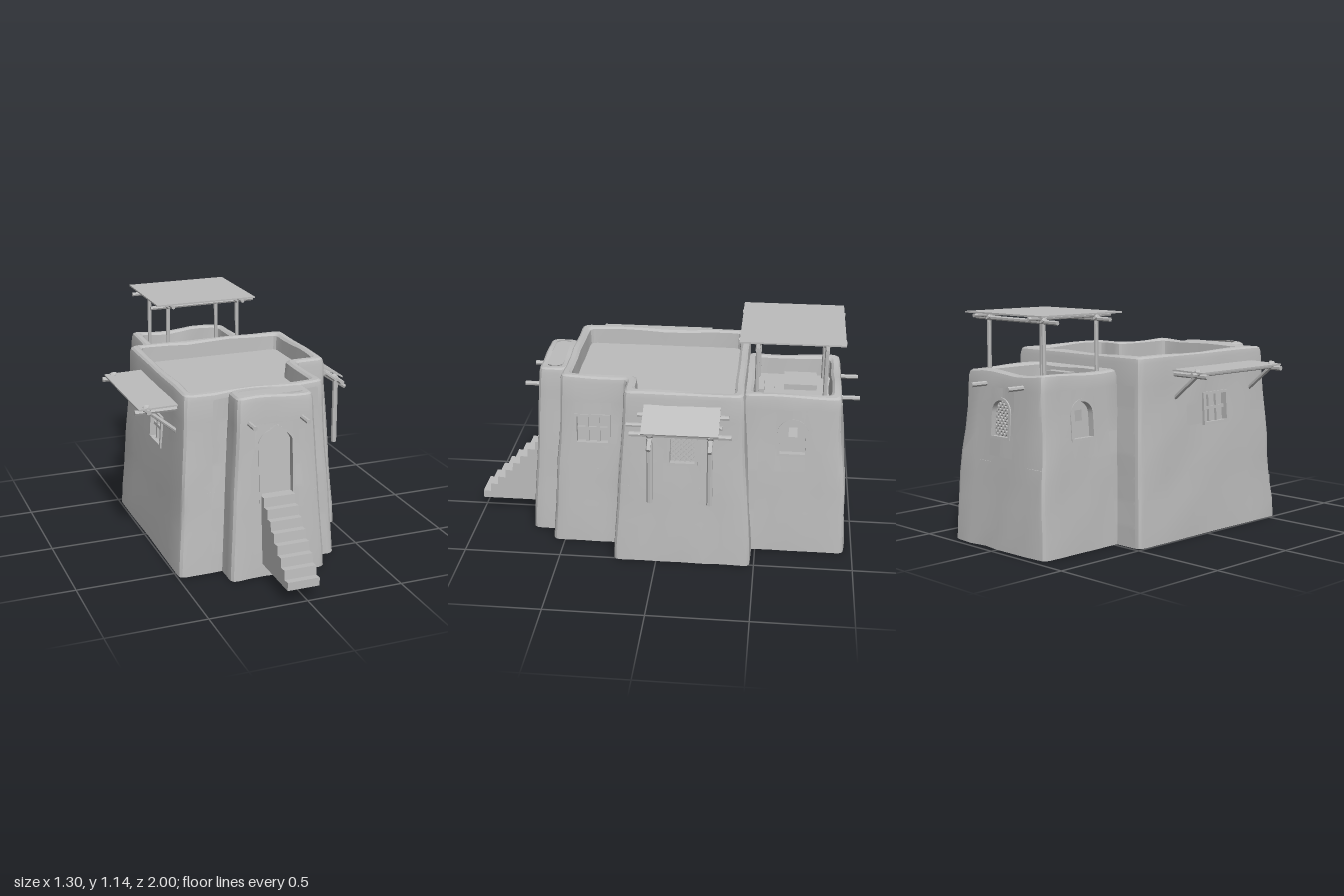
import * as THREE from 'three';
import { toCreasedNormals } from 'three/addons/utils/BufferGeometryUtils.js';

const clay = new THREE.MeshStandardMaterial({ name: 'plain grey', color: 0xbdbdbd, side: THREE.DoubleSide });
const R = Math.PI / 2;

// Door and windows: name, width, height, shape, filling, foot position, turn
const OPENINGS = [
  ['door', 0.19, 0.385, 'pointed', '', [-0.02, 0.387, 0.666], 0],
  ['gridWindow', 0.185, 0.165, 'square', 'grid', [0.311, 0.552, 0.345], R],
  ['gridWindow', 0.185, 0.165, 'square', 'grid', [-0.461, 0.552, 0.105], -R],
  ['latticeWindow', 0.15, 0.2, 'round', 'lattice', [0.476, 0.542, -0.13], R],
  ['latticeWindow', 0.15, 0.2, 'round', 'lattice', [0.01, 0.535, -0.927], Math.PI],
  ['archWindow', 0.155, 0.2, 'round', 'peephole', [0.306, 0.535, -0.671], R],
  ['archWindow', 0.155, 0.2, 'round', 'peephole', [-0.301, 0.535, -0.671], -R],
];

function add(parent, name, geo, crease = 0.45) {
  const m = new THREE.Mesh(toCreasedNormals(geo, crease), clay);
  m.name = name;
  parent.add(m);
  return m;
}
function box(parent, name, w, h, d, x, y, z) {
  return add(parent, name, new THREE.BoxGeometry(w, h, d).translate(x, y, z));
}
function rod(parent, name, a, b, r) {
  const A = new THREE.Vector3(...a), B = new THREE.Vector3(...b), dir = B.clone().sub(A);
  const m = add(parent, name, new THREE.CylinderGeometry(r, r, dir.length(), 7));
  m.position.copy(A).add(B).multiplyScalar(0.5);
  m.quaternion.setFromUnitVectors(new THREE.Vector3(0, 1, 0), dir.normalize());
}
function knot(parent, x, y, z, r = 0.022) {
  add(parent, 'lashing', new THREE.IcosahedronGeometry(r, 0).translate(x, y, z));
}

// Rounded outline of a right-angled plan, moved inward by an inset
function ring(corners, inset, r = 0.035) {
  const n = corners.length, pts = [];
  const V = corners.map((c) => new THREE.Vector2(...c));
  const dir = V.map((p, i) => V[(i + 1) % n].clone().sub(p).normalize());
  const P = V.map((p, i) => {
    const a = dir[(i + n - 1) % n], b = dir[i];
    return new THREE.Vector2(p.x + (a.y + b.y) * inset, p.y - (a.x + b.x) * inset);
  });
  for (let i = 0; i < n; i++) {
    const p = P[i], a = dir[(i + n - 1) % n], b = dir[i], q = P[(i + 1) % n];
    const s = p.clone().addScaledVector(a, -r), e = p.clone().addScaledVector(b, r);
    pts.push(...new THREE.QuadraticBezierCurve(s, p, e).getPoints(3));
    const f = q.clone().addScaledVector(b, -r);
    for (let k = 1; k < 6; k++) pts.push(e.clone().lerp(f, k / 6));
  }
  return pts;
}
function flat(parent, name, pts, y) {
  const g = new THREE.ShapeGeometry(new THREE.Shape(pts.map((p) => new THREE.Vector2(p.x, -p.y))));
  add(parent, name, g.rotateX(-R).translate(0, y, 0));
}
const wave = (x, y, z) => Math.sin(19 * x + 7 * y) * Math.cos(17 * z - 6 * y) + 0.6 * Math.sin(31 * (x + z) + 9 * y);

// True where a wall point falls inside a door or window hole
function inOpening(px, py, pz) {
  return OPENINGS.some(([, w, h, kind, , [x, y, z], turn]) => {
    const c = Math.cos(turn), s = Math.sin(turn), e = 0.006;
    const lx = Math.abs((px - x) * c - (pz - z) * s), lz = (px - x) * s + (pz - z) * c, ly = py - y;
    if (Math.abs(lz) > 0.05 || lx > w / 2 - e || ly < e || ly > h - e) return false;
    if (kind === 'round') return ly < h - w / 2 || Math.hypot(lx, ly - h + w / 2) < w / 2 - e;
    if (kind === 'pointed') return lx < (w / 2) * Math.min(1, (h - ly) / (w * 0.42)) ** 0.7 - e;
    return true;
  });
}

// Battered mud wall: outer face, rounded rim, inner parapet face and floors
function block(parent, name, corners, H, pit, hidden) {
  const levels = [[0, 0], [0.1, 0.004], [0.22, 0.013], [0.34, 0.02], [0.45, 0.026], [0.56, 0.035], [0.67, 0.043],
    [0.78, 0.05], [H - 0.03, 0.053], [H - 0.008, 0.058], [H, 0.068], [H, 0.09]];
  if (pit) levels.push([H - 0.01, 0.103], [H - pit, 0.108]);
  const rings = levels.map(([y, inset]) => ring(corners, inset).map((p) => {
    const k = 1 + 0.007 * wave(p.x, y, p.y) * (y < 0.8 ? 1 : 0.4);
    const lift = y > H - 0.04 ? 0.009 * Math.sin(14 * p.x + 3) * Math.cos(11 * p.y) : 0;
    return new THREE.Vector3(p.x * k, y + lift, p.y * k);
  }));
  const pos = [], n = rings[0].length, N = 10;
  const quad = (...q) => [0, 1, 2, 0, 2, 3].forEach((i) => pos.push(q[i].x, q[i].y, q[i].z));
  for (let i = 0; i < rings.length - 1; i++) for (let j = 0; j < n; j++) {
    const a = rings[i][j], b = rings[i][(j + 1) % n], c = rings[i + 1][(j + 1) % n], d = rings[i + 1][j];
    const at = (u, v) => a.clone().lerp(b, u / N).lerp(d.clone().lerp(c, u / N), v / N);
    // Panels crossing a hole are divided finely and trimmed
    const cells = [];
    for (let u = 0; u < N; u++) for (let v = 0; v < N; v++) {
      const m = at(u + 0.5, v + 0.5);
      if (!hidden(m.x, m.y, m.z) && !inOpening(m.x, m.y, m.z)) cells.push([u, v]);
    }
    if (cells.length === N * N) quad(a, b, c, d);
    else for (const [u, v] of cells) quad(at(u, v), at(u + 1, v), at(u + 1, v + 1), at(u, v + 1));
  }
  const g = new THREE.BufferGeometry();
  g.setAttribute('position', new THREE.Float32BufferAttribute(pos, 3));
  add(parent, name + 'Wall', g);
  flat(parent, name + 'Roof', ring(corners, pit ? 0.1 : 0.088), pit ? H - pit : H - 0.001);
  flat(parent, name + 'InnerFloor', ring(corners, 0.026), 0.42);
}

// Opening outline: square, round-headed or pointed
function outline(w, h, kind, base = 0) {
  const s = new THREE.Shape(), x = w / 2;
  s.moveTo(-x, base).lineTo(x, base);
  if (kind === 'square') s.lineTo(x, h).lineTo(-x, h);
  else if (kind === 'round') s.lineTo(x, h - x).absarc(0, h - x, x, 0, Math.PI, false);
  else {
    s.lineTo(x, h - w * 0.42).quadraticCurveTo(x * 0.85, h - w * 0.2, x * 0.4, h - w * 0.13).lineTo(0, h);
    s.lineTo(-x * 0.4, h - w * 0.13).quadraticCurveTo(-x * 0.85, h - w * 0.2, -x, h - w * 0.42);
  }
  s.closePath();
  return s;
}
function opening(parent, name, w, h, kind, fill, at, turn) {
  const g = new THREE.Group();
  g.name = name;
  const t = 0.013, back = -0.028, frame = outline(w, h, kind), panel = outline(w - t, h - t / 2, kind);
  frame.holes.push(outline(w - 2 * t, h - t, kind, t));
  add(g, 'frame', new THREE.ExtrudeGeometry(frame, { depth: 0.036, bevelEnabled: false, curveSegments: 8 }).translate(0, 0, -0.03));
  if (fill === 'peephole') {
    const hole = new THREE.Path([[-0.022, 0.093], [0.022, 0.093], [0.022, 0.145], [-0.022, 0.145]].map((p) => new THREE.Vector2(...p)));
    panel.holes.push(hole);
  }
  add(g, 'panel', new THREE.ShapeGeometry(panel, 8).translate(0, 0, back));
  if (fill === 'grid') {
    for (const x of [-1, 1]) box(g, 'bar', 0.016, h - t, 0.014, x * w / 6.5, h / 2, back + 0.008);
    box(g, 'bar', w - t, 0.016, 0.014, 0, h / 2, back + 0.008);
  }
  if (fill === 'lattice') {
    // Diagonal bars cut to the arch
    const inside = (x, y) => Math.abs(x) < w / 2 - t && y > t && (y < h - w / 2 || Math.hypot(x, y - h + w / 2) < w / 2 - t);
    for (const s of [-1, 1]) for (let c = -0.1; c < h + 0.1; c += 0.026) {
      const xs = [];
      for (let x = -w / 2; x <= w / 2; x += 0.003) if (inside(x, c + s * x)) xs.push(x);
      if (xs.length < 3) continue;
      const x0 = xs[0], x1 = xs[xs.length - 1], m = (x0 + x1) / 2;
      const bar = box(g, 'latticeBar', (x1 - x0) * Math.SQRT2, 0.006, 0.008, 0, 0, 0);
      bar.position.set(m, c + s * m, back + 0.006);
      bar.rotation.z = s * Math.PI / 4;
    }
  }
  g.position.set(...at);
  g.rotation.set(-0.07, turn, 0, 'YXZ');
  parent.add(g);
}
// Thin cover sloping from (xa, ya) to (xb, yb)
function cover(parent, name, xa, ya, xb, yb, z0, z1) {
  const m = add(parent, name, new THREE.BoxGeometry(Math.hypot(xb - xa, yb - ya), 0.008, z1 - z0));
  m.position.set((xa + xb) / 2, (ya + yb) / 2, (z0 + z1) / 2);
  m.rotation.z = Math.atan2(yb - ya, xb - xa);
}

export function createModel() {
  const house = new THREE.Group();
  house.name = 'mudHouse';

  // Walls and roofs, left open where the blocks join
  block(house, 'main', [[-0.49, 0.56], [0.345, 0.56], [0.345, 0.22], [0.51, 0.22], [0.51, -0.48], [-0.49, -0.48]], 0.92, 0.09,
    (x, y, z) => (z < -0.4 && Math.abs(x) < 0.322 - 0.065 * y && y < 0.7)
      || (z > 0.48 && x > -0.258 + 0.065 * y && x < 0.222 - 0.065 * y && y < 0.8));
  block(house, 'porch', [[-0.27, 0.69], [0.235, 0.69], [0.235, 0.43], [-0.27, 0.43]], 0.915, 0,
    (x, y, z) => z < 0.545 - 0.065 * y && y < 0.8);
  block(house, 'tower', [[-0.335, -0.36], [0.34, -0.36], [0.34, -0.96], [-0.335, -0.96]], 0.855, 0.1,
    (x, y, z) => z > -0.465 + 0.065 * y && y < 0.75);
  for (const k of [0, 1]) box(house, 'roofStep', 0.16, 0.035 * (2 - k), 0.05, 0.06, 0.755 + 0.0175 * (2 - k), -0.49 - 0.05 * k);
  box(house, 'roofHatch', 0.17, 0.03, 0.17, -0.11, 0.77, -0.7);

  for (const o of OPENINGS) opening(house, ...o);

  // Stairs
  const steps = new THREE.Shape();
  steps.moveTo(0.64, 0.07).lineTo(1, 0.07);
  for (let i = 0; i < 8; i++) {
    const z = 1 - i * 0.043, y = 0.112 + i * 0.0445;
    steps.lineTo(z, y).lineTo(i < 7 ? z - 0.039 : 0.64, y - 0.003);
  }
  const stairs = new THREE.ExtrudeGeometry(steps, { depth: 0.165, bevelEnabled: false });
  add(house, 'stairs', stairs.rotateY(-R).translate(0.06, 0, 0));

  // Beam ends through front and back walls
  for (const x of [-0.16, 0.115]) rod(house, 'frontBeam', [x, 0.793, 0.58], [x, 0.793, 0.72], 0.012);
  for (const x of [-0.14, 0.13]) rod(house, 'backBeam', [x, 0.793, -0.86], [x, 0.793, -1], 0.012);

  // Tower canopy
  cover(house, 'canopyTop', -0.28, 1.132, 0.284, 1.132, -0.91, -0.39);
  for (const z of [-0.48, -0.82]) {
    rod(house, 'canopyCrossPole', [-0.29, 1.1, z], [0.305, 1.104, z], 0.011);
    for (const x of [-0.19, 0.21]) {
      rod(house, 'canopyPost', [x * 1.02, 0.75, z], [x, 1.11, z], 0.011);
      knot(house, x, 1.107, z);
    }
  }
  for (const x of [-0.19, 0.21]) rod(house, 'canopyLongPole', [x, 1.118, -0.915], [x, 1.118, -0.385], 0.01);

  // Left-hand flat awning with braces
  cover(house, 'flatAwning', -0.635, 0.842, -0.42, 0.846, -0.2, 0.41);
  rod(house, 'awningPole', [-0.59, 0.832, -0.225], [-0.59, 0.832, 0.43], 0.012);
  for (const z of [-0.18, 0.39]) {
    rod(house, 'awningArm', [-0.65, 0.825, z], [-0.42, 0.825, z], 0.013);
    rod(house, 'awningBrace', [-0.6, 0.84, z], [-0.43, 0.7, z], 0.011);
    knot(house, -0.59, 0.838, z, 0.025);
  }

  // Right-hand sloping awning on hanging posts
  cover(house, 'slopedAwning', 0.452, 0.856, 0.612, 0.77, -0.315, 0.062);
  rod(house, 'awningPole', [0.485, 0.815, -0.36], [0.485, 0.815, 0.09], 0.013);
  rod(house, 'awningPole', [0.535, 0.783, -0.33], [0.535, 0.783, 0.14], 0.011);
  rod(house, 'awningPole', [0.582, 0.757, -0.375], [0.582, 0.757, 0.12], 0.013);
  for (const z of [-0.275, 0.02]) {
    rod(house, 'awningRafter', [0.45, 0.83, z], [0.645, 0.7, z], 0.012);
    rod(house, 'awningPost', [0.589, 0.39, z], [0.589, 0.74, z], 0.015);
    knot(house, 0.483, 0.815, z, 0.024);
    knot(house, 0.582, 0.758, z, 0.024);
  }
  return house;
}
